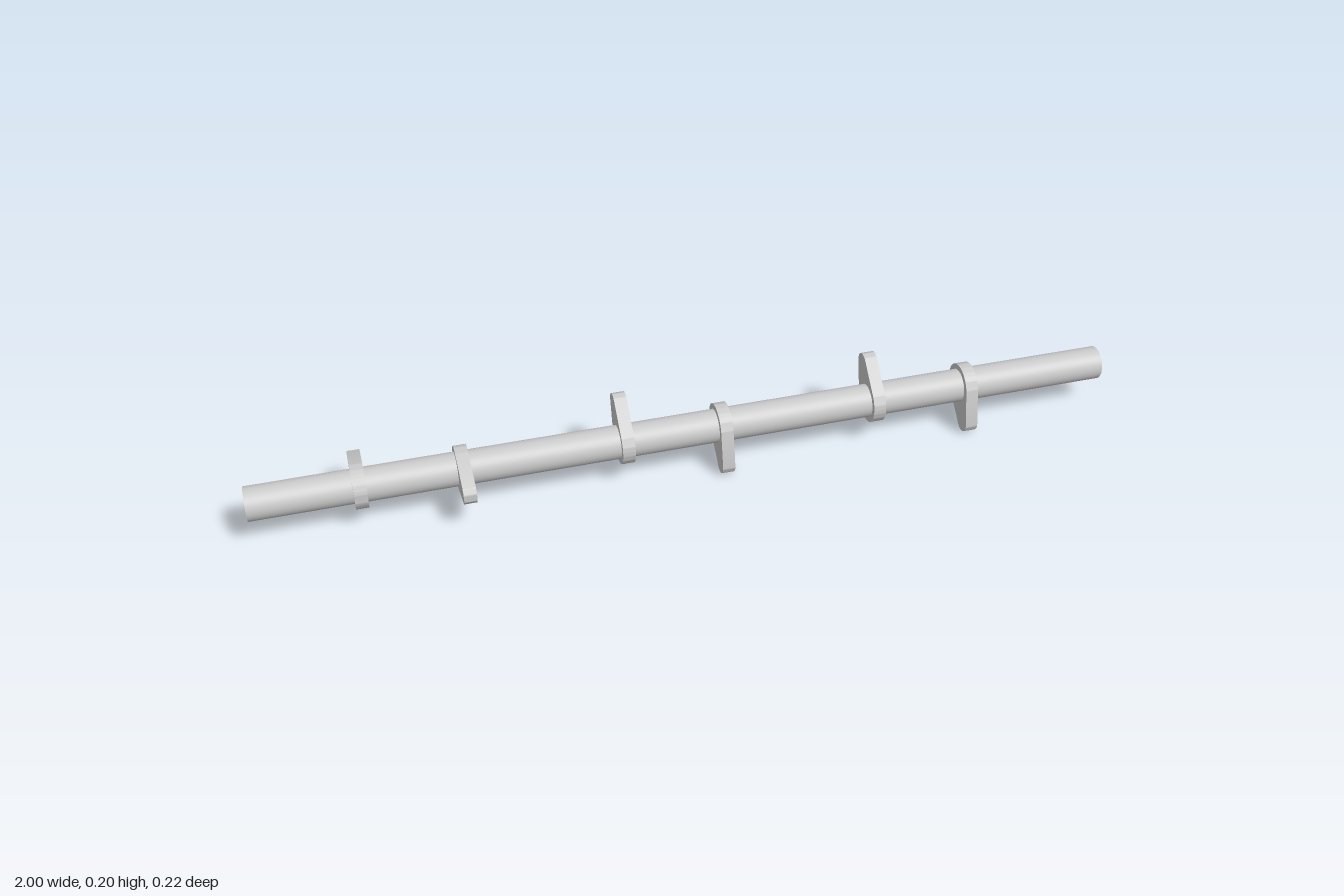
import * as THREE from 'three';
import { toCreasedNormals } from 'three/addons/utils/BufferGeometryUtils.js';

const AXIS_Y = 0.1;
const SHAFT_RADIUS = 0.0388;
const BASE_RADIUS = 0.0515;
const NOSE_RADIUS = 0.0255;
const NOSE_OFFSET = 0.086;
const LOBE_WIDTH = 0.029;

// Cam outline: base circle and nose circle joined by straight tangents
function lobeGeometry() {
  const tangent = Math.acos((BASE_RADIUS - NOSE_RADIUS) / NOSE_OFFSET);
  const shape = new THREE.Shape();
  shape.absarc(0, 0, BASE_RADIUS, tangent, 2 * Math.PI - tangent, false);
  shape.absarc(NOSE_OFFSET, 0, NOSE_RADIUS, -tangent, tangent, false);
  shape.closePath();
  const geometry = new THREE.ExtrudeGeometry(shape, {
    depth: LOBE_WIDTH, bevelEnabled: false, curveSegments: 32,
  });
  geometry.translate(0, 0, -LOBE_WIDTH / 2);
  return toCreasedNormals(geometry, Math.PI / 6);
}

export function createModel() {
  const model = new THREE.Group();
  model.name = 'camshaft';
  const material = new THREE.MeshStandardMaterial({ color: 0xcccccc });

  // Round shaft along x
  const shaft = new THREE.Mesh(
    new THREE.CylinderGeometry(SHAFT_RADIUS, SHAFT_RADIUS, 2, 64), material);
  shaft.name = 'shaft';
  shaft.rotation.z = Math.PI / 2;
  shaft.position.y = AXIS_Y;
  model.add(shaft);

  // Three pairs of opposed lobes; angle is measured from the back (-z) upward
  const geometry = lobeGeometry();
  const pairs = [
    { x: -0.643, angle: 0 },
    { x: -0.048, angle: 60 },
    { x: 0.547, angle: 60 },
  ];
  pairs.forEach(({ x, angle }, i) => {
    const pair = new THREE.Group();
    pair.name = `lobePair${i + 1}`;
    pair.position.set(x, AXIS_Y, 0);
    [-1, 1].forEach((side) => {
      const lobe = new THREE.Mesh(geometry, material);
      lobe.name = side < 0 ? 'rightLobe' : 'leftLobe';
      lobe.position.x = side * 0.114;
      lobe.rotation.set(0, Math.PI / 2, THREE.MathUtils.degToRad(angle + (side > 0 ? 180 : 0)));
      pair.add(lobe);
    });
    model.add(pair);
  });

  return model;
}
